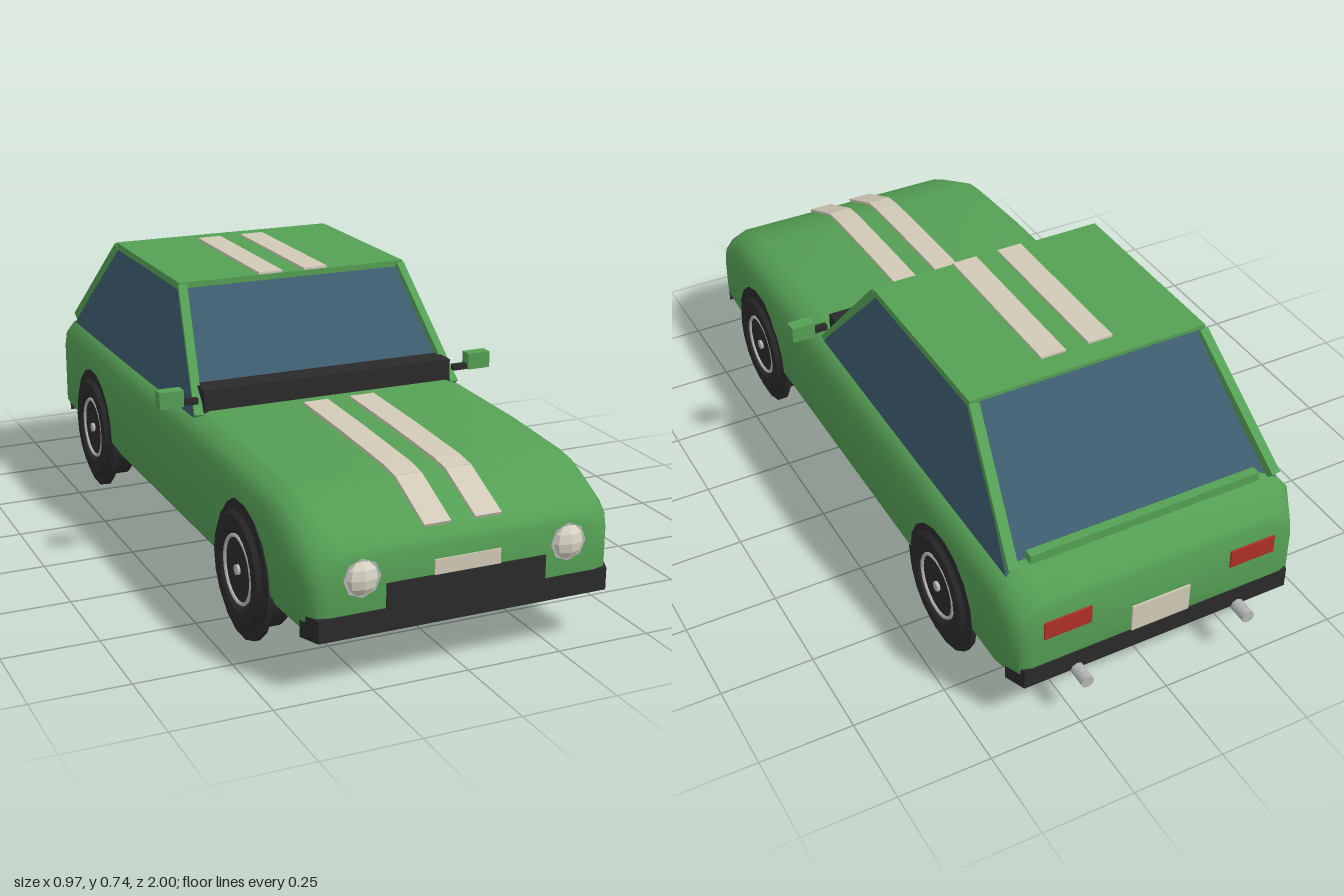
import * as THREE from 'three';
import { toCreasedNormals } from 'three/addons/utils/BufferGeometryUtils.js';

const paint = (name, color, side = THREE.FrontSide) => {
  const m = new THREE.MeshStandardMaterial({ color, side });
  m.name = name;
  return m;
};

export function createModel() {
  const car = new THREE.Group();
  car.name = 'hatchbackCar';
  const green = paint('greenPaint', 0x55a055);
  const glass = paint('blueGlass', 0x3c5c6e);
  const black = paint('blackRubber', 0x2a2a2b);
  const cream = paint('creamPaint', 0xd2cab8);
  const lamp = paint('lampGlass', 0xdad5c4);
  const red = paint('redLamp', 0xb03028);
  const silver = paint('silverMetal', 0xb4b6b8);

  const add = (name, geo, mat, x = 0, y = 0, z = 0, parent = car) => {
    const m = new THREE.Mesh(geo, mat);
    m.name = name;
    m.position.set(x, y, z);
    parent.add(m);
    return m;
  };
  // Box given by its limits on each axis
  const box = (name, mat, x0, x1, y0, y1, z0, z1) =>
    add(name, new THREE.BoxGeometry(x1 - x0, y1 - y0, z1 - z0), mat,
      (x0 + x1) / 2, (y0 + y1) / 2, (z0 + z1) / 2);
  // Bar of width w and height h from a to b
  const bar = (name, mat, a, b, w, h) => {
    const p = new THREE.Vector3(...a), q = new THREE.Vector3(...b);
    const m = add(name, new THREE.BoxGeometry(w, h, p.distanceTo(q)), mat);
    m.position.copy(p).lerp(q, 0.5);
    m.lookAt(q);
    return m;
  };

  // Body shell: cross-sections [z, half width, top, bottom] from back to front
  const sections = [
    [-0.945, 0.36, 0.375, 0.15], [-0.935, 0.39, 0.395, 0.135], [-0.87, 0.42, 0.45, 0.13],
    [-0.4, 0.422, 0.45, 0.13], [0.2, 0.422, 0.455, 0.13], [0.5, 0.422, 0.45, 0.13],
    [0.74, 0.418, 0.439, 0.13], [0.8, 0.416, 0.431, 0.13], [0.9, 0.412, 0.388, 0.13],
    [0.94, 0.403, 0.37, 0.13], [0.972, 0.38, 0.345, 0.14], [0.98, 0.35, 0.325, 0.155],
  ];
  const verts = [], index = [];
  for (const [z, w, t, b] of sections) {
    const half = [[w - 0.075, t], [w - 0.03, t - 0.02], [w - 0.006, t - 0.05],
      [w, t - 0.09], [w, 0.18], [w - 0.035, b]];
    const ring = [...half, ...half.map(([x, y]) => [-x, y]).reverse()];
    ring.forEach(([x, y]) => verts.push(x, y, z));
  }
  const n = 12, last = (sections.length - 1) * n;
  verts.push(0, 0.25, -0.945, 0, 0.25, 0.98);
  const back = last + n, front = back + 1;
  for (let i = 0; i < n; i++) {
    const k = (i + 1) % n;
    for (let j = 0; j < last; j += n) {
      index.push(j + i, j + n + i, j + k, j + k, j + n + i, j + n + k);
    }
    index.push(back, i, k, front, last + k, last + i);
  }
  const shell = new THREE.BufferGeometry();
  shell.setAttribute('position', new THREE.Float32BufferAttribute(verts, 3));
  shell.setIndex(index);
  add('bodyShell', toCreasedNormals(shell, 0.85), green);

  // Cabin glass: a box whose corners are moved to the window lines
  const cabin = new THREE.BoxGeometry(2, 2, 2);
  const p = cabin.attributes.position;
  for (let i = 0; i < p.count; i++) {
    const top = p.getY(i) > 0, fore = p.getZ(i) > 0;
    p.setXYZ(i, p.getX(i) * (top ? 0.332 : 0.388), top ? 0.73 : 0.425,
      top ? (fore ? -0.04 : -0.575) : (fore ? 0.21 : -0.865));
  }
  cabin.computeVertexNormals();
  add('cabinGlass', cabin, glass);

  // Roof, pillars and window surrounds
  box('roof', green, -0.335, 0.335, 0.72, 0.74, -0.575, -0.035);
  for (const s of [-1, 1]) {
    bar('frontPillar', green, [s * 0.374, 0.44, 0.205], [s * 0.324, 0.728, -0.04], 0.024, 0.024);
    bar('rearPillar', green, [s * 0.372, 0.45, -0.865], [s * 0.324, 0.728, -0.575], 0.026, 0.024);
  }
  box('rearWindowSill', green, -0.325, 0.325, 0.45, 0.475, -0.865, -0.84);
  box('windscreenCowl', black, -0.36, 0.36, 0.45, 0.512, 0.13, 0.212);

  // Racing stripes on the bonnet and roof
  const path = [[0.265, 0.46], [0.5, 0.454], [0.74, 0.444], [0.8, 0.436], [0.953, 0.368]];
  for (const s of [-1, 1]) {
    const x = s * 0.067;
    for (let i = 0; i < path.length - 1; i++) {
      const [z0, y0] = path[i], [z1, y1] = path[i + 1];
      bar('bonnetStripe', cream, [x, y0, z0], [x, y1, z1], 0.07, 0.008);
    }
    box('roofStripe', cream, x - 0.035, x + 0.035, 0.738, 0.746, -0.51, -0.037);
  }

  // Bumpers with angled ends, grille and plates
  const plan = new THREE.Shape([[-0.405, 0], [0.405, 0], [0.382, 0.055], [-0.382, 0.055]]
    .map(([x, y]) => new THREE.Vector2(x, y)));
  const bumper = new THREE.ExtrudeGeometry(plan, { depth: 0.057, bevelEnabled: false });
  add('frontBumper', bumper, black, 0, 0.193, 0.93).rotation.x = Math.PI / 2;
  const rear = add('rearBumper', bumper, black, 0, 0.193, -0.893);
  rear.rotation.set(Math.PI / 2, 0, Math.PI);
  box('grille', black, -0.21, 0.21, 0.19, 0.255, 0.93, 0.985);
  box('frontPlate', cream, -0.087, 0.087, 0.255, 0.293, 0.975, 0.984);
  box('rearPlate', cream, -0.083, 0.083, 0.193, 0.272, -0.95, -0.942);

  for (const s of [-1, 1]) {
    // Headlamp, tail lamp, exhaust and mirror on each side
    const head = new THREE.SphereGeometry(0.046, 8, 6).toNonIndexed();
    head.computeVertexNormals();
    add('headlamp', head, lamp, s * 0.272, 0.278, 0.972).scale.z = 0.62;
    const rim = add('headlampRim', new THREE.CylinderGeometry(0.048, 0.048, 0.02, 8), silver,
      s * 0.272, 0.278, 0.972);
    rim.rotation.x = Math.PI / 2;
    box('tailLamp', red, s * 0.265 - 0.065, s * 0.265 + 0.065, 0.278, 0.33, -0.95, -0.942);
    const pipe = add('exhaustPipe', new THREE.CylinderGeometry(0.018, 0.018, 0.12, 8), silver,
      s * 0.235, 0.135, -0.94);
    pipe.rotation.x = Math.PI / 2;
    box('mirrorArm', black, s * 0.4 - 0.025, s * 0.4 + 0.025, 0.476, 0.492, 0.192, 0.208);
    box('mirror', green, s * 0.45 - 0.033, s * 0.45 + 0.033, 0.476, 0.521, 0.18, 0.215);

    // Wheels: tyre with raised tread band, dark disc, bright ring and hub
    for (const z of [0.606, -0.573]) {
      const wheel = new THREE.Group();
      wheel.name = z > 0 ? 'frontWheel' : 'rearWheel';
      wheel.position.set(s * 0.385, 0.178, z);
      wheel.rotation.z = -s * Math.PI / 2;
      car.add(wheel);
      const profile = [[0, -0.035], [0.1, -0.035], [0.105, -0.05], [0.138, -0.05], [0.15, -0.038],
        [0.15, 0.022], [0.178, 0.022], [0.178, 0.036], [0.15, 0.038], [0.14, 0.05],
        [0.105, 0.05], [0.095, 0.04], [0, 0.04]].map(([r, y]) => new THREE.Vector2(r, y));
      add('tyre', toCreasedNormals(new THREE.LatheGeometry(profile, 18), 0.5), black, 0, 0, 0, wheel);
      const ring = add('rimRing', new THREE.TorusGeometry(0.086, 0.005, 6, 24), silver, 0, 0.042, 0, wheel);
      ring.rotation.x = Math.PI / 2;
      add('hubCap', new THREE.CylinderGeometry(0.014, 0.014, 0.09, 8), silver, 0, 0.003, 0, wheel);
    }
  }
  return car;
}
